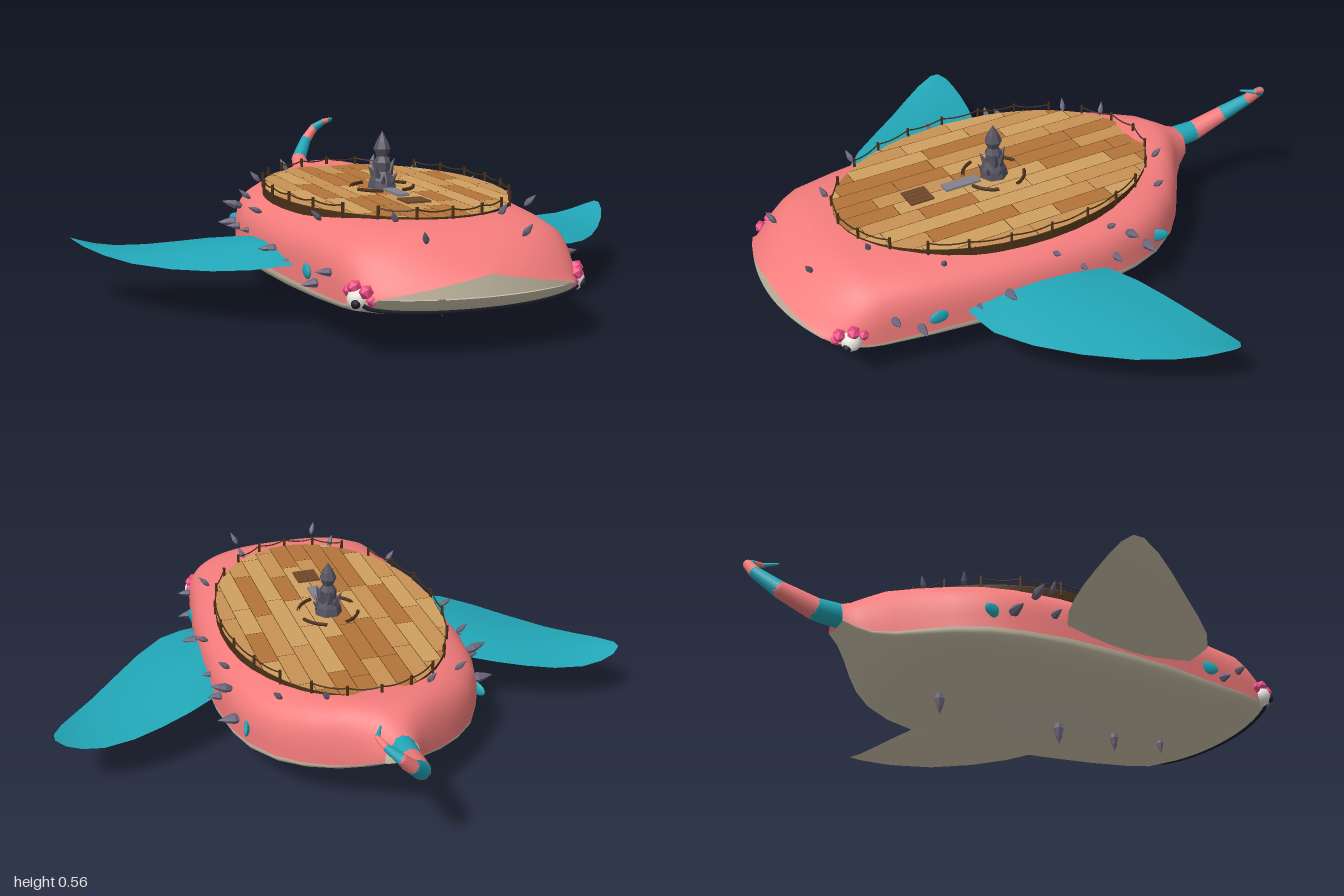
import * as THREE from 'three';

const mat = (color, flatShading = false) =>
  new THREE.MeshStandardMaterial({ color, flatShading, roughness: 0.8, side: THREE.DoubleSide });
const pink = mat(0xf47c7c), cream = mat(0xcfc4ad), teal = mat(0x22a7b8), dark = mat(0x1b1c2a);
const wood = mat(0x4a3018), spikeMat = mat(0x6b667c, true), stone = mat(0x55525f, true);
const magenta = mat(0xe8487f, true), white = mat(0xe8e4de);
const planks = [0xc99355, 0xb4753a, 0xd0a060].map(c => mat(c));

// Body stations: z, half width, top, seam, bottom, upper roundness
const stations = [
  [0.94, 0.31, 0.262, 0.2, 0.195, 1], [0.915, 0.325, 0.272, 0.19, 0.17, 1.6], [0.88, 0.345, 0.295, 0.18, 0.145, 2.2],
  [0.83, 0.36, 0.33, 0.17, 0.13, 2.8], [0.77, 0.372, 0.36, 0.165, 0.122, 3.2], [0.7, 0.382, 0.374, 0.165, 0.115, 3.6],
  [0.55, 0.405, 0.376, 0.165, 0.1, 4], [0.35, 0.435, 0.376, 0.17, 0.09, 4], [0.15, 0.45, 0.376, 0.17, 0.085, 4],
  [-0.05, 0.45, 0.376, 0.17, 0.086, 4], [-0.2, 0.43, 0.376, 0.17, 0.094, 4], [-0.3, 0.4, 0.376, 0.172, 0.103, 3.8],
  [-0.4, 0.34, 0.378, 0.175, 0.12, 3.4], [-0.47, 0.27, 0.385, 0.18, 0.14, 3], [-0.53, 0.19, 0.39, 0.19, 0.165, 2.6],
  [-0.58, 0.12, 0.372, 0.21, 0.195, 2.2], [-0.62, 0.08, 0.35, 0.235, 0.225, 2], [-0.66, 0.058, 0.335, 0.26, 0.25, 2]];

function sectionAt(z) {
  let i = 0;
  while (i < stations.length - 2 && stations[i + 1][0] > z) i++;
  const a = stations[i], b = stations[i + 1];
  const t = THREE.MathUtils.clamp((a[0] - z) / (a[0] - b[0]), 0, 1);
  return a.map((v, k) => v + (b[k] - v) * t);
}

// Point on the body skin; angle 0..PI runs over the back, negative under the belly
function skin(z, angle) {
  const [, w, top, seam, bottom, n] = sectionAt(z);
  const c = Math.cos(angle), s = Math.sin(angle), up = angle >= 0;
  const e = 2 / (up ? n : 2.6);
  const x = w * Math.sign(c) * Math.abs(c) ** e;
  const y = seam + (up ? top - seam : bottom - seam) * Math.abs(s) ** e;
  const bend = Math.max(0, z - 0.7) / 0.24 * 0.06 * (x / 0.3) ** 2;
  return new THREE.Vector3(x, y, z - bend);
}

// Grid surface from a function of u and v in 0..1
function surface(nu, nv, f) {
  const pos = [], idx = [];
  for (let i = 0; i <= nu; i++) for (let j = 0; j <= nv; j++) {
    pos.push(...f(i / nu, j / nv).toArray());
    if (i < nu && j < nv) {
      const a = i * (nv + 1) + j, b = a + nv + 1;
      idx.push(a, a + 1, b, b, a + 1, b + 1);
    }
  }
  const g = new THREE.BufferGeometry();
  g.setAttribute('position', new THREE.Float32BufferAttribute(pos, 3));
  g.setIndex(idx);
  g.computeVertexNormals();
  return g;
}

export function createModel() {
  const root = new THREE.Group();
  const V = (x, y, z) => new THREE.Vector3(x, y, z);
  const add = (name, geo, m, x = 0, y = 0, z = 0, parent = root) => {
    const mesh = new THREE.Mesh(geo, m);
    mesh.name = name;
    mesh.position.set(x, y, z);
    parent.add(mesh);
    return mesh;
  };
  const rod = (name, a, b, ra, rb, m, sides = 8) => {
    const d = b.clone().sub(a);
    const r = add(name, new THREE.CylinderGeometry(rb, ra, d.length(), sides), m, ...a.clone().add(b).multiplyScalar(0.5).toArray());
    r.quaternion.setFromUnitVectors(V(0, 1, 0), d.normalize());
    return r;
  };

  // Body: pink back, pale belly, nose front and mouth line
  const rows = stations.length - 1, zAt = u => stations[Math.round(u * rows)][0];
  add('back', surface(rows, 48, (u, v) => skin(zAt(u), v * Math.PI)), pink);
  add('belly', surface(rows, 40, (u, v) => skin(zAt(u), -v * Math.PI)), cream);
  add('noseFront', surface(1, 32, (u, v) => {
    const p = skin(0.94, v * Math.PI);
    p.y += (0.198 - p.y) * u;
    return p;
  }), cream);
  const lip = [];
  for (let i = 0; i <= 20; i++) lip.push(skin(0.885, -0.1 - i / 20 * (Math.PI - 0.2)));
  add('mouth', new THREE.TubeGeometry(new THREE.CatmullRomCurve3(lip), 40, 0.009, 6), dark);

  // Side fins: front edge, back edge, height and half thickness along x
  const finRows = [[0.4, 0.44, -0.02, 0.215, 0.036], [0.47, 0.435, -0.07, 0.213, 0.034], [0.55, 0.415, -0.115, 0.205, 0.028],
    [0.65, 0.335, -0.155, 0.193, 0.021], [0.75, 0.225, -0.187, 0.184, 0.015], [0.85, 0.1, -0.207, 0.184, 0.011],
    [0.92, 0.005, -0.21, 0.196, 0.008], [0.97, -0.075, -0.203, 0.212, 0.005], [1, -0.145, -0.18, 0.226, 0.001]];
  for (const side of [-1, 1]) for (const face of [1, -1]) {
    add(face > 0 ? 'finTop' : 'finUnderside', surface(finRows.length - 1, 14, (u, v) => {
      const [x, zf, zb, y, t] = finRows[Math.round(u * (finRows.length - 1))];
      return V(side * x, y + face * t * Math.sin(v * Math.PI), zf + (zb - zf) * v);
    }), face > 0 ? teal : cream);
  }

  // Curled, banded tail
  const tail = [[0, 0.298, -0.62, 0.042], [0, 0.303, -0.73, 0.038], [0.015, 0.35, -0.85, 0.029], [0.07, 0.42, -0.92, 0.021],
    [0.11, 0.465, -0.935, 0.017], [0.145, 0.493, -0.91, 0.012], [0.16, 0.505, -0.87, 0.008], [0.135, 0.51, -0.825, 0.003]];
  for (let i = 0; i < tail.length - 1; i++) {
    const a = tail[i], b = tail[i + 1], m = i % 2 ? pink : teal;
    rod('tailBand', V(...a), V(...b), a[3], b[3], m, 12);
    add('tailJoint', new THREE.SphereGeometry(b[3], 10, 8), m, b[0], b[1], b[2]);
  }

  // Oval deck of staggered planks
  const cz = 0.11, rx = 0.385, rz = 0.57, deckY = 0.381;
  const base = add('deckBase', new THREE.CylinderGeometry(1, 1, 0.03, 40), wood, 0, 0.364, cz);
  base.scale.set(rx, 1, rz);
  let seed = 7;
  const rand = () => (seed = (seed * 16807) % 2147483647) / 2147483647;
  const reach = x => rz * Math.sqrt(Math.max(0, 1 - (x / rx) ** 2));
  const strips = 12, pw = 2 * rx / strips;
  for (let i = 0; i < strips; i++) {
    const x0 = -rx + i * pw, x1 = x0 + pw - 0.002;
    let z0 = -rz - rand() * 0.2;
    for (let k = 0; z0 < rz; k++) {
      const z1 = z0 + 0.18 + rand() * 0.18;
      const lim = (x, z) => THREE.MathUtils.clamp(z, -reach(x), reach(x));
      const a = z0, b = z1 - 0.002;
      if (b > -Math.max(reach(x0), reach(x1))) {
        add('plank', surface(1, 4, (u, v) => {
          const x = x0 + (x1 - x0) * v;
          return V(x, deckY, cz + lim(x, u ? b : a));
        }), planks[Math.floor(rand() * 3)]);
      }
      z0 = z1;
    }
  }

  // Rope railing in four runs round the deck
  const rim = (a, y) => V(Math.cos(a) * rx, y, cz + Math.sin(a) * rz);
  for (const [mid, half, n] of [[0, 0.75, 6], [Math.PI, 0.75, 6], [Math.PI / 2, 0.56, 4], [-Math.PI / 2, 0.56, 4]]) {
    const at = i => mid - half + 2 * half * i / n;
    for (let i = 0; i <= n; i++) {
      rod('railPost', rim(at(i), 0.36), rim(at(i), 0.412), 0.005, 0.005, wood, 6);
      if (i === n) continue;
      const p = rim(at(i), 0.405), q = rim(at(i + 1), 0.405);
      const sag = p.clone().lerp(q, 0.5).setY(0.388);
      add('railRope', new THREE.TubeGeometry(new THREE.QuadraticBezierCurve3(p, sag, q), 8, 0.0025, 5), wood);
    }
  }

  // Deck fittings: broken ring, walkway and hatch
  for (let i = 0; i < 4; i++) {
    const arc = add('deckRing', new THREE.TorusGeometry(0.105, 0.006, 6, 10, 0.9), wood, 0, 0.386, cz);
    arc.rotation.set(Math.PI / 2, 0, 0.33 + i * Math.PI / 2);
  }
  add('walkway', new THREE.BoxGeometry(0.042, 0.008, 0.13), mat(0x85828f), 0, 0.385, 0.235);
  for (let i = 0; i < 4; i++) add('hatchBoard', new THREE.BoxGeometry(0.019, 0.006, 0.085), mat(0x70482a), -0.035 + i * 0.021, 0.384, 0.395);

  // Jagged stone spire
  const profile = [[0.05, 0], [0.044, 0.03], [0.028, 0.06], [0.03, 0.09], [0.018, 0.11], [0.03, 0.135], [0.02, 0.16], [0, 0.195]];
  add('spire', new THREE.LatheGeometry(profile.map(p => new THREE.Vector2(...p)), 7), stone, 0, 0.378, cz);
  for (let i = 0; i < 9; i++) {
    const a = i * 2.4, h = 0.38 + (i % 3) * 0.025, r = 0.055 - (i % 3) * 0.007;
    rod('spireShard', V(Math.cos(a) * 0.02, h, cz + Math.sin(a) * 0.02),
      V(Math.cos(a) * r, h + 0.05, cz + Math.sin(a) * r), 0.017, 0.001, stone, 5);
  }

  // Spikes: a faceted shard pointing along a direction
  const shard = new THREE.LatheGeometry([[0, -0.2], [0.16, 0], [0.23, 0.3], [0.14, 0.65], [0, 1]].map(p => new THREE.Vector2(...p)), 6);
  const spike = (p, dir, len) => {
    const s = add('spike', shard, spikeMat, p.x, p.y, p.z);
    s.scale.setScalar(len);
    s.quaternion.setFromUnitVectors(V(0, 1, 0), dir.normalize());
  };
  for (const [z, len] of [[0.61, 0.055], [0.41, 0.07], [0.18, 0.08], [-0.28, 0.08]])
    spike(V(0, sectionAt(z)[4] + 0.005, z), V(0, -1, 0), len);
  const flank = [[-0.235, 0.23, 0.08], [-0.16, 0.3, 0.07], [-0.1, 0.24, 0.06], [0.03, 0.25, 0.045], [0.1, 0.21, 0.07],
    [0.13, 0.33, 0.045], [0.3, 0.24, 0.07], [0.4, 0.22, 0.045], [0.59, 0.195, 0.065], [0.67, 0.24, 0.06]];
  const shoulder = [[0.3, 0.355, -0.35], [0.17, 0.378, -0.43], [0.35, 0.362, 0.48], [0.17, 0.37, 0.65], [0.155, 0.345, 0.84], [0.41, 0.34, -0.09]];
  for (const s of [-1, 1]) {
    for (const [z, y, len] of flank) spike(V(s * (sectionAt(z)[1] - 0.015), y, z), V(s, (y - 0.22) * 4, 0), len);
    for (const [x, y, z] of shoulder) spike(V(s * x, y, z), V(s * x, 0.35, (z - cz) * 0.3), 0.045);

    // Teal spots on the flanks
    for (const [z, y] of [[0.52, 0.215], [-0.29, 0.228]]) {
      const spot = add('spot', new THREE.SphereGeometry(1, 16, 10), teal, s * (sectionAt(z)[1] - 0.004), y, z);
      spot.scale.set(0.01, 0.024, 0.046);
      spot.rotation.y = -s * (z > 0 ? -0.12 : 0.35);
    }

    // Eyes with crumpled lids
    add('eye', new THREE.SphereGeometry(0.034, 16, 12), white, s * 0.345, 0.188, 0.8);
    add('pupil', new THREE.SphereGeometry(0.014, 10, 8), dark, s * 0.362, 0.18, 0.823);
    for (const [x, y, z, r] of [[0.325, 0.213, 0.775, 0.027], [0.355, 0.222, 0.795, 0.023], [0.335, 0.215, 0.835, 0.022],
      [0.36, 0.208, 0.765, 0.02], [0.318, 0.19, 0.84, 0.02]])
      add('eyelid', new THREE.IcosahedronGeometry(r, 0), magenta, s * x, y, z);
  }
  return root;
}
